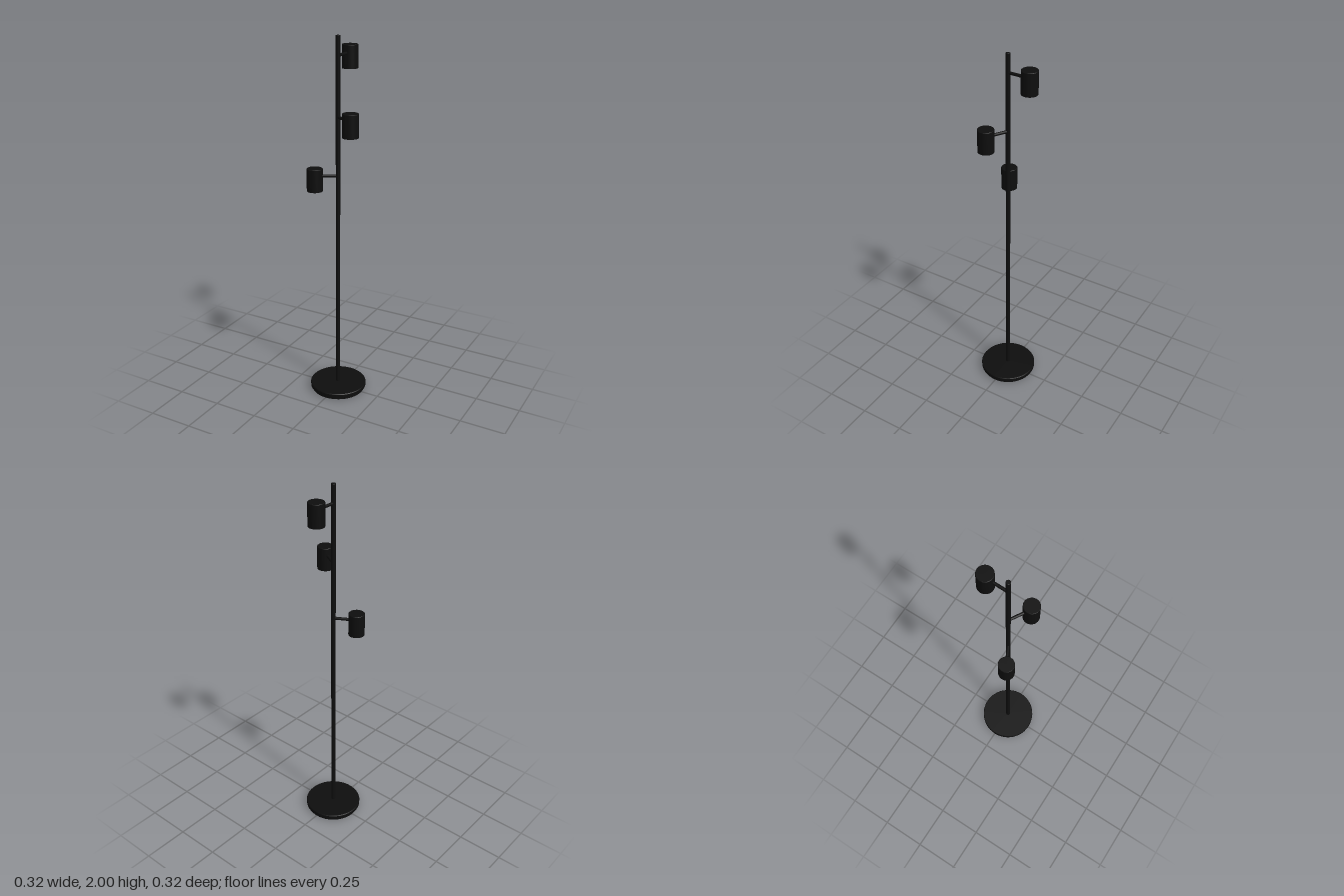
import * as THREE from 'three';
import { toCreasedNormals } from 'three/addons/utils/BufferGeometryUtils.js';

const black = new THREE.MeshStandardMaterial({ color: 0x0e0e0e });
black.name = 'matte black';

const POLE = new THREE.Vector3(-0.002, 0, 0.004);

function mesh(name, geometry) {
  const m = new THREE.Mesh(geometry, black);
  m.name = name;
  return m;
}

// Closed turned shape from [radius, height] pairs, listed bottom to top
function turned(name, profile, segments = 40) {
  const points = profile.map(([r, y]) => new THREE.Vector2(r, y));
  return mesh(name, toCreasedNormals(new THREE.LatheGeometry(points, segments), 0.6));
}

// One spotlight: a horizontal arm and a downward cylinder with a recessed lamp
function spotlight(name, x, z, bottom, top, armY) {
  const group = new THREE.Group();
  group.name = name;

  const h = top - bottom;
  const shade = turned('shade', [
    [0, 0.008], [0.039, 0.008], [0.039, 0], [0.043, 0],
    [0.043, h - 0.002], [0.041, h], [0, h],
  ]);
  shade.position.set(x, bottom, z);

  const dir = new THREE.Vector3(x - POLE.x, 0, z - POLE.z);
  const length = dir.length() - 0.035;
  dir.normalize();
  const arm = mesh('arm', new THREE.CylinderGeometry(0.008, 0.008, length, 16));
  arm.quaternion.setFromUnitVectors(new THREE.Vector3(0, 1, 0), dir);
  arm.position.copy(POLE).addScaledVector(dir, length / 2);
  arm.position.y = armY;

  group.add(shade, arm);
  return group;
}

export function createModel() {
  const lamp = new THREE.Group();
  lamp.name = 'floorLamp';

  // Round weighted foot with a softened lower edge
  const base = turned('base', [
    [0, 0.004], [0.146, 0.004], [0.146, 0], [0.15, 0], [0.15, 0.007],
    [0.157, 0.012], [0.158, 0.032], [0.155, 0.036], [0, 0.036],
  ], 48);
  base.position.set(-0.001, 0, 0.003);

  // Tall upright
  const pole = turned('pole', [[0, 0.02], [0.012, 0.02], [0.012, 1.998], [0.01, 2], [0, 2]], 20);
  pole.position.copy(POLE);

  lamp.add(
    base,
    pole,
    spotlight('upperSpotlight', 0.001, -0.119, 1.82, 1.942, 1.90),
    spotlight('middleSpotlight', 0.105, 0.067, 1.503, 1.627, 1.585),
    spotlight('lowerSpotlight', -0.11, 0.063, 1.187, 1.31, 1.27),
  );
  return lamp;
}
